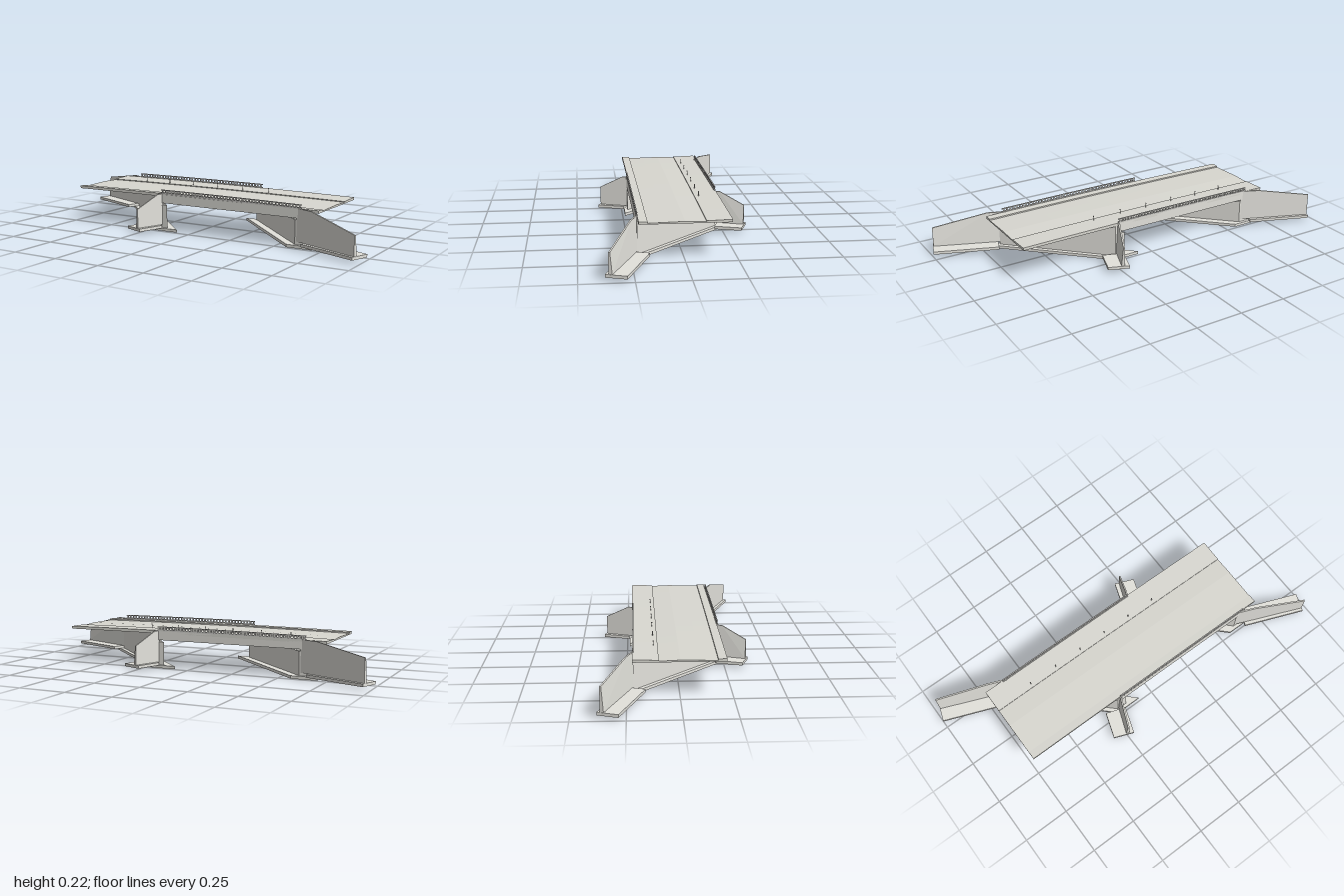
import * as THREE from 'three';

const concrete = new THREE.MeshStandardMaterial({ name: 'concrete', color: 0xe3e2dc });
const paving = new THREE.MeshStandardMaterial({ name: 'paving', color: 0xd9d8d1 });
const steel = new THREE.MeshStandardMaterial({ name: 'steel', color: 0xcfceca });

const SKEW = 1.02; // x shift per unit of z along the abutments
const skew = (z) => SKEW * z;
const arch = (x) => 0.005 * (1 - (x / 0.74) ** 2);

// Flat-faced solid through matching rings; the ends close as strips (point i to n-1-i)
function loft(rings) {
  const pos = [], n = rings[0].length;
  const tri = (a, b, c) => pos.push(...a, ...b, ...c);
  const quad = (a, b, c, d) => { tri(a, b, c); tri(a, c, d); };
  for (let r = 0; r < rings.length - 1; r++) {
    for (let i = 0; i < n; i++) {
      const j = (i + 1) % n;
      quad(rings[r][i], rings[r][j], rings[r + 1][j], rings[r + 1][i]);
    }
  }
  const first = rings[0], last = rings[rings.length - 1];
  for (let i = 0; i < n / 2 - 1; i++) {
    quad(first[i], first[n - 1 - i], first[n - 2 - i], first[i + 1]);
    quad(last[i], last[i + 1], last[n - 2 - i], last[n - 1 - i]);
  }
  // turn the faces outward if the enclosed volume comes out negative
  let volume = 0;
  const a = new THREE.Vector3(), b = new THREE.Vector3(), c = new THREE.Vector3();
  for (let i = 0; i < pos.length; i += 9) {
    volume += a.fromArray(pos, i).dot(b.fromArray(pos, i + 3).cross(c.fromArray(pos, i + 6)));
  }
  if (volume < 0) {
    for (let i = 0; i < pos.length; i += 9) {
      for (let k = 0; k < 3; k++) [pos[i + 3 + k], pos[i + 6 + k]] = [pos[i + 6 + k], pos[i + 3 + k]];
    }
  }
  const geo = new THREE.BufferGeometry();
  geo.setAttribute('position', new THREE.Float32BufferAttribute(pos, 3));
  geo.computeVertexNormals();
  return geo;
}

function add(parent, name, geo, material = concrete) {
  const mesh = new THREE.Mesh(geo, material);
  mesh.name = name;
  parent.add(mesh);
  return mesh;
}

// Upright prism on a four-cornered plan
const prism = (plan, y0, y1) => loft([y0, y1].map((y) => plan.map(([x, z]) => [x, y, z])));

// Parallelogram block following the skew
const skewBlock = (x0, x1, z, y0, y1) => prism([
  [x0 + skew(-z), -z], [x1 + skew(-z), -z], [x1 + skew(z), z], [x0 + skew(z), z],
], y0, y1);

function box(parent, name, x0, x1, y0, y1, z0, z1, material) {
  const mesh = add(parent, name, new THREE.BoxGeometry(x1 - x0, y1 - y0, z1 - z0), material);
  mesh.position.set((x0 + x1) / 2, (y0 + y1) / 2, (z0 + z1) / 2);
}

// Thin wall with a sloping top and a battered earth side
function wingWall(parent, name, [ax, az], [bx, bz], [nx, nz], bend, endTop) {
  const rings = [[0, 0.195], [bend, 0.195], [1, endTop]].map(([t, top]) => {
    const x = ax + (bx - ax) * t, z = az + (bz - az) * t;
    const inner = (d, y) => [x + nx * d, y, z + nz * d];
    return [[x, 0.03, z], [x, top, z], inner(0.008, top), inner(0.018, 0.03)];
  });
  add(parent, name, loft(rings));
}

// One abutment (the +x one) with its long and short wings
function abutment(longTop) {
  const g = new THREE.Group();
  add(g, 'abutmentFooting', skewBlock(0.32, 0.46, 0.237, 0, 0.015));
  add(g, 'abutmentStem', skewBlock(0.375, 0.43, 0.22, 0.015, 0.137));
  add(g, 'backWall', skewBlock(0.41, 0.43, 0.22, 0.137, 0.182));
  wingWall(g, 'longWing', [0.605, 0.219], [0.968, 0.366], [0.375, -0.927], 0.26, longTop);
  add(g, 'longWingFooting', prism([[0.65, 0.258], [0.965, 0.381], [1, 0.284], [0.685, 0.161]], 0.015, 0.03));
  wingWall(g, 'shortWing', [0.18, -0.215], [0.237, -0.366], [0.93, 0.36], 0.2, 0.13);
  add(g, 'shortWingFooting', prism([[0.17, -0.24], [0.217, -0.379], [0.32, -0.339], [0.275, -0.205]], 0.015, 0.03));
  // bearings on the beam seat
  for (let i = 0; i < 7; i++) {
    const z = -0.195 + i * 0.065, x = 0.392 + skew(z);
    box(g, 'bearing', x - 0.01, x + 0.01, 0.137, 0.146, z - 0.01, z + 0.01, concrete);
  }
  return g;
}

export function createModel() {
  const model = new THREE.Group();
  model.name = 'skewBridge';

  const nearAbutment = abutment(0.13);
  nearAbutment.name = 'leftAbutment';
  const farAbutment = abutment(0.15);
  farAbutment.name = 'rightAbutment';
  farAbutment.rotation.y = Math.PI;
  model.add(nearAbutment, farAbutment);

  // Gently arched road with a crown, a kerb and a raised footway
  const profile = [
    [0.217, 0.193], [0.175, 0.192], [0.175, 0.185], [0.09, 0.187], [0, 0.189],
    [-0.1, 0.185], [-0.1, 0.189], [-0.223, 0.193],
  ];
  const rings = [];
  for (let i = 0; i <= 16; i++) {
    const x = -0.738 + (1.46 * i) / 16, h = arch(x);
    rings.push([
      ...profile.map(([z, y]) => [x, y + h, z]),
      ...profile.slice().reverse().map(([z]) => [x, 0.179 + h * 0.6, z]),
    ]);
  }
  add(model, 'roadDeck', loft(rings), paving);

  // Slim deep girders tied by staggered diaphragms
  for (let i = 0; i < 7; i++) {
    const z = -0.195 + i * 0.065, s = skew(z);
    box(model, 'girder', s - 0.405, s + 0.405, 0.146, 0.182, z - 0.01, z + 0.01, concrete);
    if (i === 6) continue;
    for (let k = -2; k <= 2; k++) {
      const x = s + skew(0.0325) + k * 0.16;
      box(model, 'diaphragm', x - 0.006, x + 0.006, 0.152, 0.182, z + 0.01, z + 0.055, concrete);
    }
  }

  // Edge beams and toothed railings on both sides of the span
  for (const side of [-1, 1]) {
    const z = side * 0.219, s = skew(z);
    box(model, 'edgeBeam', s - 0.405, s + 0.405, 0.147, 0.194, z - 0.004, z + 0.004, concrete);
    const count = 44, step = 0.82 / count;
    for (let i = 0; i < count; i++) {
      const x = s - 0.41 + i * step, y = 0.19 + arch(x);
      box(model, 'railingBase', x, x + step, y, y + 0.008, z - 0.004, z + 0.004, steel);
      box(model, 'railingPost', x + 0.004, x + 0.012, y + 0.008, y + 0.021, z - 0.002, z + 0.002, steel);
      box(model, 'railingTop', x, x + step, y + 0.019, y + 0.024, z - 0.003, z + 0.003, steel);
    }
  }

  // Slim posts along the footway
  for (let i = 0; i < 6; i++) {
    const x = -0.52 + i * 0.159, y = 0.188 + arch(x);
    const post = add(model, 'footwayPost', new THREE.CylinderGeometry(0.0018, 0.0018, 0.024, 8), steel);
    post.position.set(x, y + 0.012, -0.121);
    const cap = add(model, 'postCap', new THREE.CylinderGeometry(0.003, 0.003, 0.004, 8), steel);
    cap.position.set(x, y + 0.024, -0.121);
  }

  return model;
}
